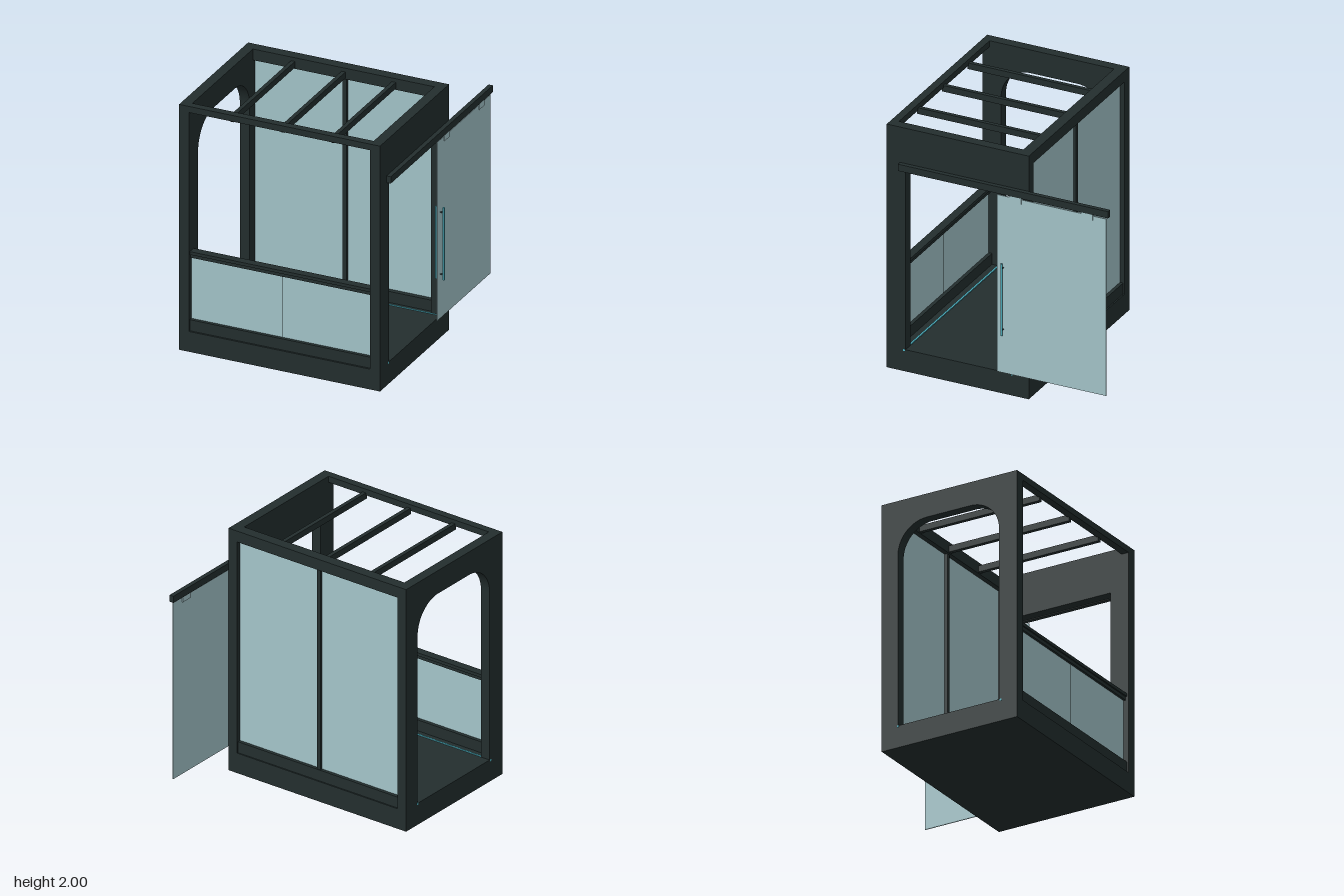
import * as THREE from 'three';

export function createModel() {
  const root = new THREE.Group();
  root.name = 'glassBooth';
  const frame = new THREE.MeshStandardMaterial({ color: 0x232e2e });
  frame.name = 'dark frame';
  const glass = new THREE.MeshStandardMaterial({ color: 0xa4c5ca });
  glass.name = 'pale glass';
  const cyan = new THREE.MeshStandardMaterial({ color: 0x4fb6c6 });
  cyan.name = 'cyan accent';

  const add = (name, geometry, material) => {
    const mesh = new THREE.Mesh(geometry, material);
    mesh.name = name;
    root.add(mesh);
    return mesh;
  };
  // Box given by its extents along each axis
  const box = (name, mat, x0, x1, y0, y1, z0, z1) => {
    const m = add(name, new THREE.BoxGeometry(x1 - x0, y1 - y0, z1 - z0), mat);
    m.position.set((x0 + x1) / 2, (y0 + y1) / 2, (z0 + z1) / 2);
    return m;
  };

  const L = -0.85, R = 0.79, F = 0.92, B = -0.25; // outer faces
  const IL = -0.77, IR = 0.71;                    // inner wall faces
  const baseTop = 0.165, mid = -0.03;

  // Base and floor
  box('base', frame, L, R, 0, baseTop, B, F);
  box('floor', frame, L, R, baseTop, 0.178, -0.1, 0.765);
  for (const z of [-0.11, 0.777])
    box('floorLightStrip', cyan, L - 0.001, R + 0.001, baseTop, 0.18, z - 0.007, z + 0.007);

  // Side walls: a frame around a doorway, with rounded or square top corners
  const wall = (name, x, top, r) => {
    const a = -0.765, b = 0.11;
    const s = new THREE.Shape();
    s.moveTo(-F, baseTop).lineTo(a, baseTop).lineTo(a, top - r);
    if (r) s.absarc(a + r, top - r, r, Math.PI, Math.PI / 2, true);
    s.lineTo(b - r, top);
    if (r) s.absarc(b - r, top - r, r, Math.PI / 2, 0, true);
    s.lineTo(b, baseTop).lineTo(-B, baseTop).lineTo(-B, 2).lineTo(-F, 2);
    s.closePath();
    const g = new THREE.ExtrudeGeometry(s, { depth: 0.08, bevelEnabled: false, curveSegments: 16 });
    add(name, g.rotateY(Math.PI / 2), frame).position.x = x;
  };
  wall('archedWall', L, 1.81, 0.25);
  wall('doorWall', IR, 1.66, 0);

  // Roof beams and cross bars
  box('frontTopBeam', frame, IL, IR, 1.95, 2, 0.86, F);
  box('backTopBeam', frame, IL, IR, 1.91, 2, B, -0.165);
  for (const x of [-0.443, mid, 0.38])
    box('roofBar', frame, x - 0.016, x + 0.016, 1.92, 1.97, -0.165, 0.87);

  // Front parapet with two panes
  box('frontBottomRail', frame, IL, IR, baseTop, 0.255, 0.84, 0.905);
  box('frontHandrail', frame, IL, IR, 0.785, 0.81, 0.84, 0.905);
  box('frontHandrailLip', frame, IL, IR, 0.757, 0.785, 0.85, 0.895);
  box('frontPaneLeft', glass, mid + 0.002, IR, 0.255, 0.757, 0.868, 0.878);
  box('frontPaneRight', glass, IL, mid - 0.002, 0.255, 0.757, 0.868, 0.878);
  box('paneJoint', frame, mid - 0.002, mid + 0.002, 0.255, 0.757, 0.868, 0.878);

  // Back window
  box('backBottomRail', frame, IL, IR, baseTop, 0.255, -0.24, -0.165);
  box('backMullion', frame, mid - 0.016, mid + 0.016, 0.255, 1.91, -0.235, -0.18);
  box('backPaneLeft', glass, mid + 0.016, IR, 0.255, 1.91, -0.213, -0.203);
  box('backPaneRight', glass, IL, mid - 0.016, 0.255, 1.91, -0.213, -0.203);

  // Sliding door hanging from its rail
  box('doorRail', frame, R, 0.825, 1.655, 1.71, -0.92, 0.81);
  box('slidingDoor', glass, 0.807, 0.815, 0.185, 1.64, -0.9, 0);
  for (const z of [-0.155, -0.745])
    box('doorClamp', glass, 0.8, 0.822, 1.605, 1.655, z - 0.047, z + 0.047);

  // Door handles on both faces, joined by two pins
  for (const x of [0.781, 0.842])
    add('doorHandle', new THREE.CylinderGeometry(0.008, 0.008, 0.59, 16), cyan)
      .position.set(x, 0.797, -0.052);
  for (const y of [0.545, 1.05]) {
    const pin = add('handlePin', new THREE.CylinderGeometry(0.005, 0.005, 0.061, 10), frame);
    pin.rotation.z = Math.PI / 2;
    pin.position.set(0.8115, y, -0.052);
  }
  return root;
}
